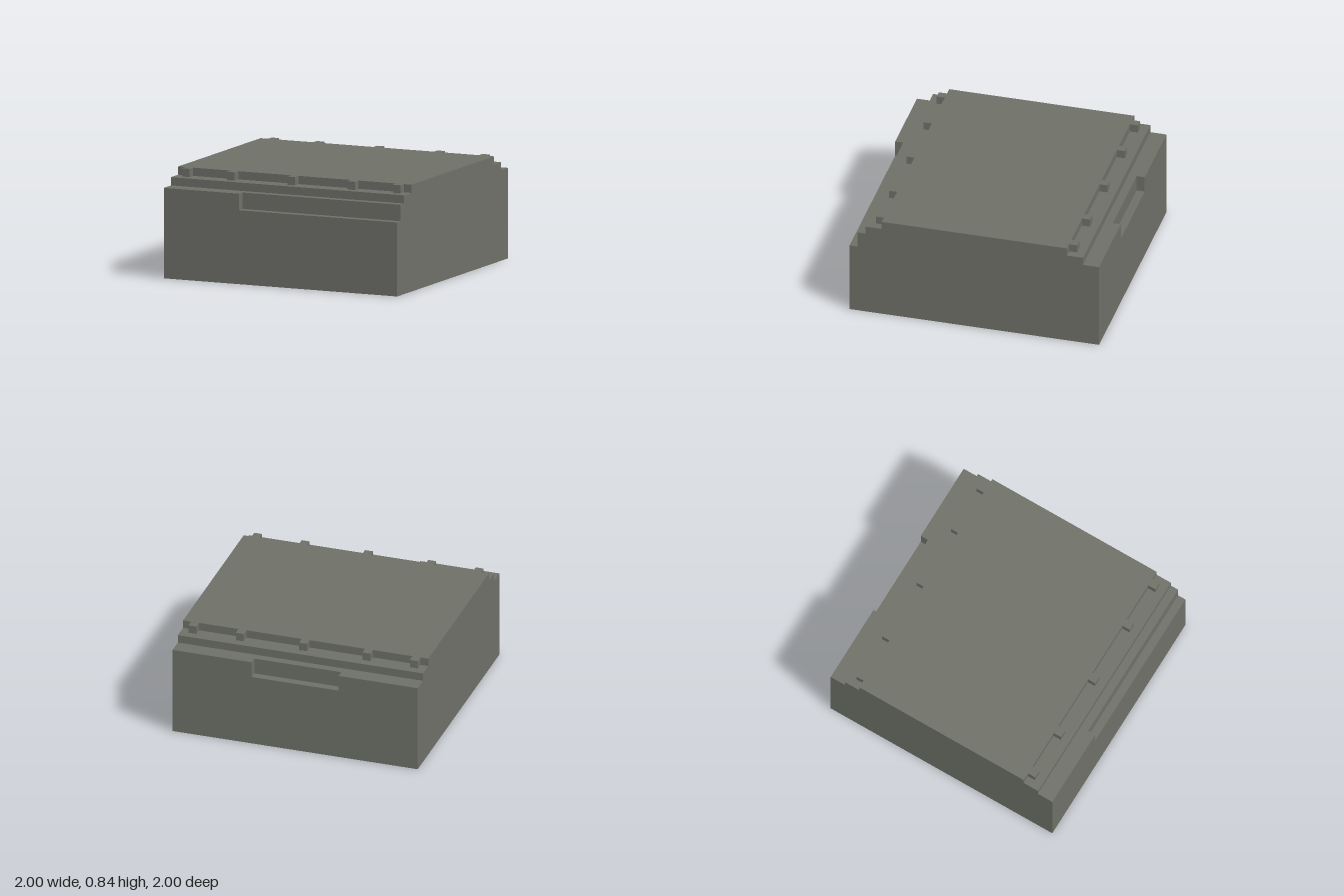
import * as THREE from 'three';

const U = 2 / 31; // one grid step; the footprint is 31 x 31 steps
const H = 15.5; // half the footprint, in steps

// Extrudes a plan outline of [x, z] points (in steps) from height y0 to y1.
function layer(name, outline, y0, y1, material) {
  const shape = new THREE.Shape(outline.map(([x, z]) => new THREE.Vector2(x * U, -z * U)));
  const geometry = new THREE.ExtrudeGeometry(shape, { depth: (y1 - y0) * U, bevelEnabled: false });
  geometry.rotateX(-Math.PI / 2);
  geometry.translate(0, y0 * U, 0);
  const mesh = new THREE.Mesh(geometry, material);
  mesh.name = name;
  return mesh;
}

const rectangle = (hx, hz) => [[-hx, hz], [hx, hz], [hx, -hz], [-hx, -hz]];

export function createModel() {
  const model = new THREE.Group();
  model.name = 'steppedBlock';
  const stone = new THREE.MeshStandardMaterial({ color: 0x6e7068 });
  stone.name = 'grey stone';

  // Plain lower body
  model.add(layer('lowerBody', rectangle(H, H), 0, 9, stone));

  // Ledge: front recess runs out to the left side, back recess is centred
  const ledge = [
    [-H, H], [-5.5, H], [-5.5, H - 1], [H, H - 1],
    [H, -H], [5.5, -H], [5.5, 1 - H], [-5.5, 1 - H], [-5.5, -H], [-H, -H],
  ];
  model.add(layer('recessedLedge', ledge, 9, 11, stone));

  // Step set back at front and back
  model.add(layer('step', rectangle(H, 13.5), 11, 12, stone));

  // Top slab with small teeth along the front and back edges
  const front = [[-H, 11.5]];
  for (const x of [-14, -8, 0, 8, 14]) {
    front.push([x - 0.5, 11.5], [x - 0.5, 12.5], [x + 0.5, 12.5], [x + 0.5, 11.5]);
  }
  front.push([H, 11.5]);
  const back = front.map(([x, z]) => [-x, -z]);
  model.add(layer('toothedTop', [...front, ...back], 12, 13, stone));

  return model;
}
